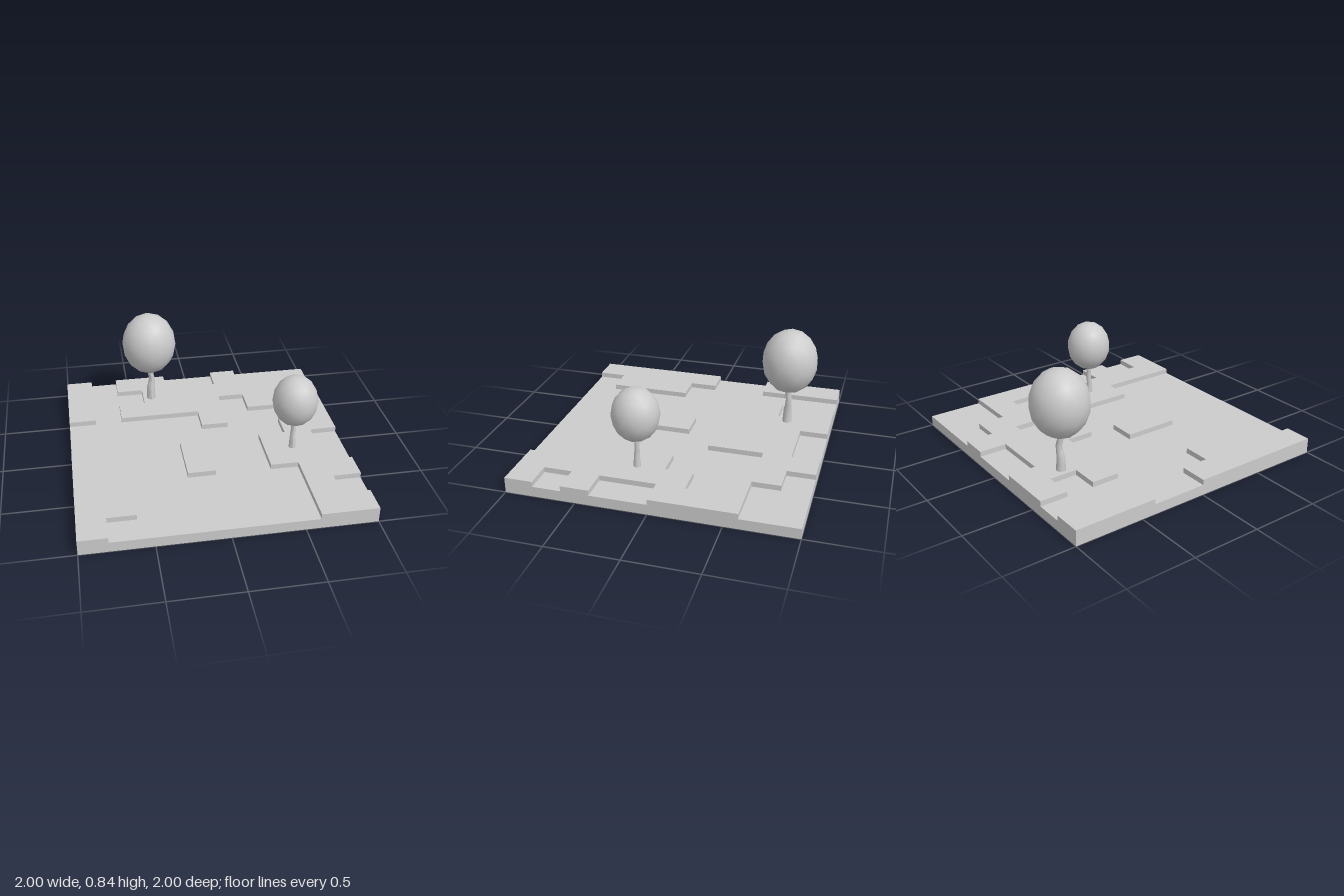
import * as THREE from 'three';

const grey = new THREE.MeshStandardMaterial({ color: 0xcccccc });
const LOW = 0.074, HIGH = 0.112, CELL = 0.2;

function addMesh(parent, name, geometry) {
  const mesh = new THREE.Mesh(geometry, grey);
  mesh.name = name;
  parent.add(mesh);
  return mesh;
}

// Raised plateau outlines as [column, row] corners of a 10 x 10 tile grid
const plateaus = {
  backRightPlateau: [[0, 0], [1, 0], [1, 3], [0, 3]],
  frontRightPlateau: [[0, 5], [1, 5], [1, 6], [2, 6], [2, 9], [1, 9], [1, 10], [0, 10]],
  middlePlateau: [[4, 5], [5, 5], [5, 7], [4, 7]],
  windingPlateau: [
    [2, 0], [4, 0], [4, 1], [6, 1], [6, 0], [7, 0], [7, 1], [8, 1], [8, 2], [10, 2],
    [10, 5], [9, 5], [9, 7], [10, 7], [10, 8], [9, 8], [9, 9], [10, 9], [10, 10], [8, 10],
    [8, 7], [7, 7], [7, 5], [8, 5], [8, 4], [9, 4], [9, 3], [7, 3], [7, 2], [6, 2],
    [6, 4], [5, 4], [5, 3], [2, 3], [2, 2], [3, 2], [3, 1], [2, 1],
  ],
};

function plateauGeometry(corners) {
  const points = corners.map(([c, r]) => new THREE.Vector2(c * CELL - 1, 1 - r * CELL));
  const geo = new THREE.ExtrudeGeometry(new THREE.Shape(points), { depth: HIGH - LOW, bevelEnabled: false });
  return geo.rotateX(-Math.PI / 2).translate(0, LOW, 0);
}

// Crooked trunk: each ring is [height, x offset, z offset, radius]
function trunkGeometry(rings) {
  const n = rings.length - 1;
  const geo = new THREE.CylinderGeometry(1, 1, 1, 8, n, true);
  const pos = geo.attributes.position;
  for (let i = 0; i < pos.count; i++) {
    const [y, dx, dz, r] = rings[Math.round((pos.getY(i) + 0.5) * n)];
    pos.setXYZ(i, pos.getX(i) * r + dx, y, pos.getZ(i) * r + dz);
  }
  geo.computeVertexNormals();
  return geo;
}

function addTree(parent, name, { x, z, rings, crown, radii }) {
  const tree = new THREE.Group();
  tree.name = name;
  tree.position.set(x, HIGH, z);
  addMesh(tree, 'trunk', trunkGeometry(rings));
  const leaves = addMesh(tree, 'crown', new THREE.IcosahedronGeometry(1, 2));
  leaves.position.set(...crown);
  leaves.scale.set(...radii);
  parent.add(tree);
}

export function createModel() {
  const model = new THREE.Group();
  model.name = 'groundWithTrees';

  // Ground slab and raised tiles
  addMesh(model, 'groundSlab', new THREE.BoxGeometry(2, LOW, 2).translate(0, LOW / 2, 0));
  for (const [name, corners] of Object.entries(plateaus)) addMesh(model, name, plateauGeometry(corners));

  // Trees
  addTree(model, 'largeTree', {
    x: -0.336, z: -0.677,
    rings: [
      [-0.01, 0, 0, 0.036], [0.05, -0.001, 0, 0.032], [0.1, -0.002, 0, 0.03],
      [0.135, 0.004, -0.004, 0.025], [0.18, 0.01, -0.006, 0.022],
      [0.22, 0.001, -0.001, 0.022], [0.29, -0.002, 0, 0.022],
    ],
    crown: [-0.003, 0.491, 0.002], radii: [0.207, 0.243, 0.204],
  });
  addTree(model, 'smallTree', {
    x: 0.606, z: 0.196,
    rings: [
      [-0.01, 0, 0, 0.028], [0.04, 0.001, 0, 0.025], [0.08, -0.002, 0.002, 0.021],
      [0.12, 0, -0.002, 0.019], [0.16, 0.002, -0.002, 0.017],
      [0.19, -0.001, 0, 0.018], [0.24, 0, 0, 0.018],
    ],
    crown: [0.003, 0.396, 0.002], radii: [0.163, 0.194, 0.167],
  });
  return model;
}
